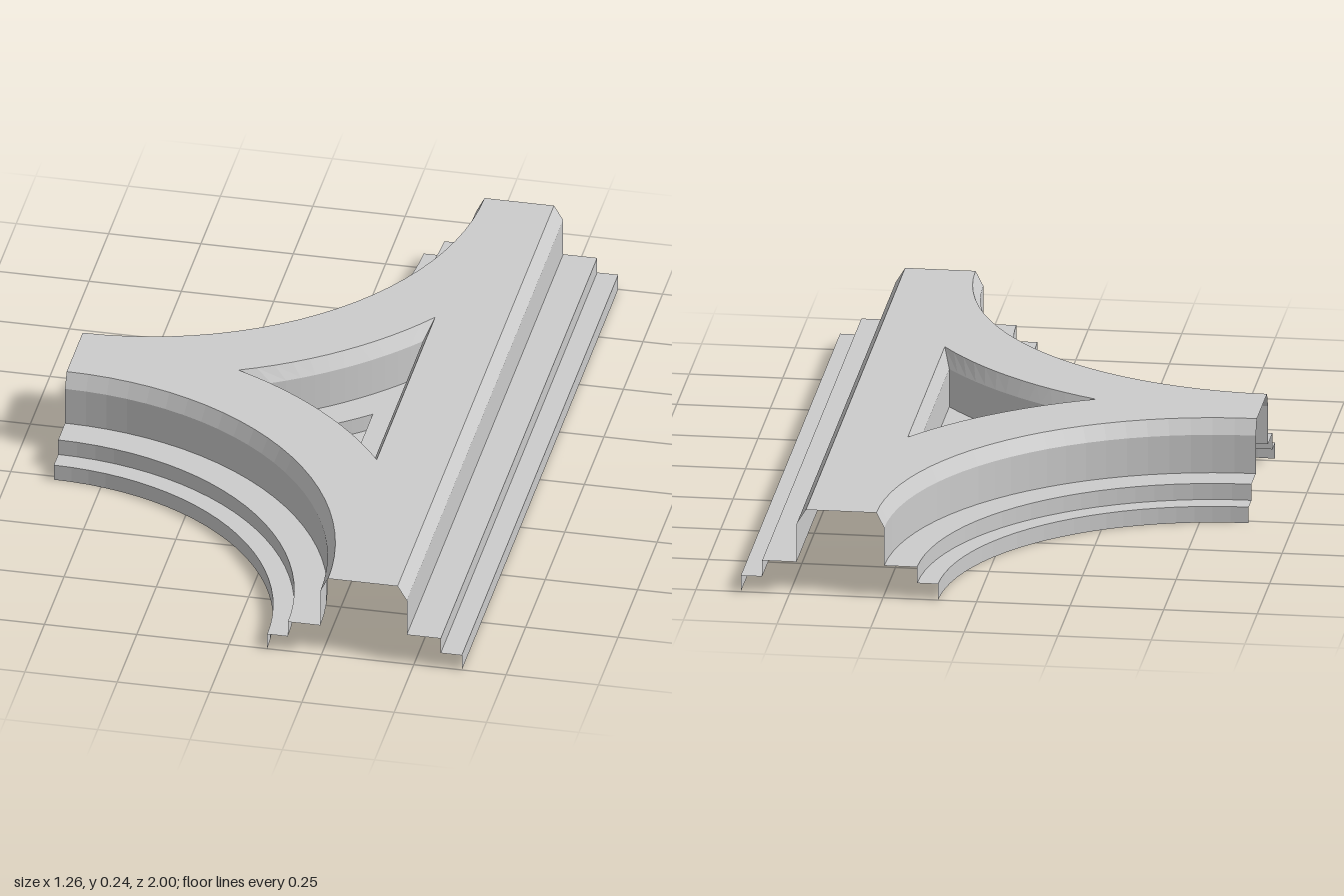
import * as THREE from 'three';

const EDGE = 0.63;          // half width in x
const TOP = 0.237, SHOULDER = 0.196, LEDGE = 0.09, STEP = 0.045;
const SEG = 24;

// Surface through equal-length rows of [x, y, z] points
function loft(rows, material, name) {
  const pos = [];
  for (let i = 0; i < rows.length - 1; i++) {
    for (let j = 0; j < rows[i].length - 1; j++) {
      const a = rows[i][j], b = rows[i][j + 1], c = rows[i + 1][j + 1], d = rows[i + 1][j];
      pos.push(...a, ...b, ...c, ...a, ...c, ...d);
    }
  }
  const geo = new THREE.BufferGeometry();
  geo.setAttribute('position', new THREE.Float32BufferAttribute(pos, 3));
  geo.computeVertexNormals();
  const mesh = new THREE.Mesh(geo, material);
  mesh.name = name;
  return mesh;
}

// Quarter arc around the corner (-EDGE, side), from the arm end to the road end
function cornerArc(r, side) {
  return Array.from({ length: SEG + 1 }, (_, i) => {
    const t = (i / SEG) * Math.PI / 2;
    return [-EDGE + r * Math.sin(t), side * (1 - r * Math.cos(t))];
  });
}

// Closed outline of the central triangle, shrunk inward by d
function triangleLoop(d) {
  const r = 1.094 + d, right = 0.267 - d;
  const t0 = Math.acos(1 / r), t1 = Math.asin((right + EDGE) / r);
  const half = Array.from({ length: 13 }, (_, i) => {
    const t = t0 + (t1 - t0) * i / 12;
    return [-EDGE + r * Math.sin(t), 1 - r * Math.cos(t)];
  });
  const mirrored = half.map(([x, z]) => [x, -z]).reverse();
  return [...half, ...mirrored];
}

export function createModel() {
  const group = new THREE.Group();
  group.name = 'junction';
  const grey = new THREE.MeshStandardMaterial({ color: 0xcccccc, flatShading: true, side: THREE.DoubleSide });
  grey.name = 'plain grey';

  // Stepped walls of the two curved corners
  const curveProfile = [[0.733, 0], [0.733, STEP], [0.789, STEP], [0.789, LEDGE],
    [0.877, LEDGE], [0.877, SHOULDER], [0.898, TOP]];
  for (const side of [1, -1]) {
    const rows = curveProfile.map(([r, y]) => cornerArc(r, side).map(([x, z]) => [x, y, z]));
    if (side > 0) rows.reverse();
    group.add(loft(rows, grey, side > 0 ? 'frontCurvedWall' : 'backCurvedWall'));
  }

  // Stepped straight wall
  const wallProfile = [[EDGE, 0], [EDGE, STEP], [0.573, STEP], [0.573, LEDGE],
    [0.481, LEDGE], [0.481, SHOULDER], [0.456, TOP]];
  group.add(loft(wallProfile.map(([x, y]) => [[x, y, 1], [x, y, -1]]), grey, 'straightWall'));

  // Flat top with the triangular opening
  const front = cornerArc(0.898, 1), back = cornerArc(0.898, -1).reverse();
  const outline = [...front, [0.456, 1], [0.456, -1], ...back];
  const toShape = ([x, z]) => new THREE.Vector2(x, -z);
  const shape = new THREE.Shape(outline.map(toShape));
  const opening = triangleLoop(0).filter((p, i) => i !== 25);
  shape.holes.push(new THREE.Path(opening.map(toShape)));
  const top = new THREE.Mesh(new THREE.ShapeGeometry(shape).rotateX(-Math.PI / 2).translate(0, TOP, 0), grey);
  top.name = 'topDeck';
  group.add(top);

  // Stepped recess in the middle, closed by a small floor
  const pitProfile = [[0, TOP], [0.02, SHOULDER], [0.02, LEDGE], [0.109, LEDGE], [0.109, STEP]];
  const rows = pitProfile.map(([d, y]) => triangleLoop(d).map(([x, z]) => [x, y, z]));
  group.add(loft(rows.reverse(), grey, 'centreRecess'));
  const floorShape = new THREE.Shape(triangleLoop(0.109).slice(0, 25).map(toShape));
  const floor = new THREE.Mesh(new THREE.ShapeGeometry(floorShape).rotateX(-Math.PI / 2).translate(0, STEP, 0), grey);
  floor.name = 'recessFloor';
  group.add(floor);

  return group;
}
